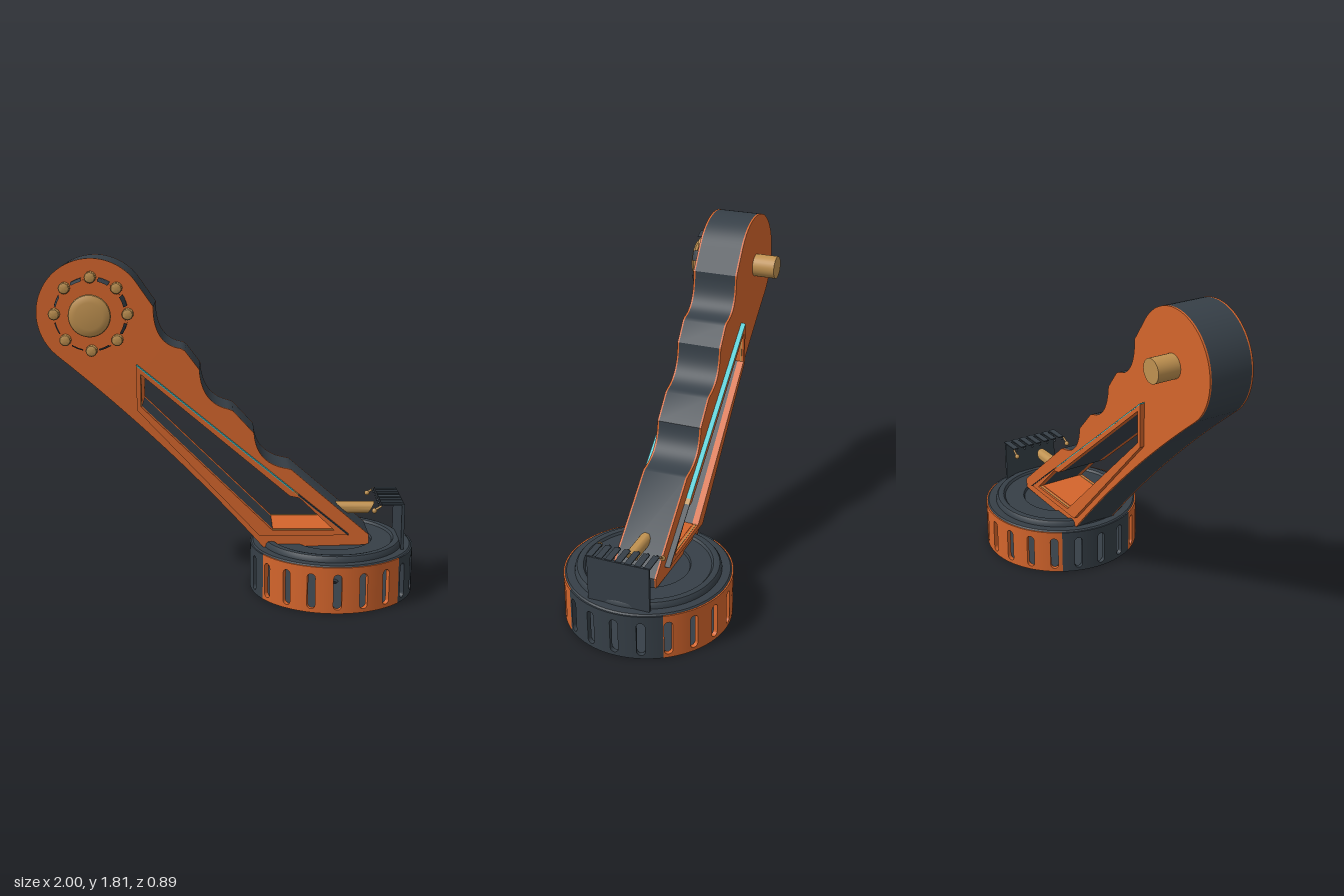
import * as THREE from 'three';
import { mergeGeometries, toCreasedNormals } from 'three/addons/utils/BufferGeometryUtils.js';

const paint = (name, color, side = THREE.FrontSide) => {
  const m = new THREE.MeshStandardMaterial({ color, side });
  m.name = name;
  return m;
};
const rad = THREE.MathUtils.degToRad;
const v2 = (pts) => pts.map(([x, y]) => new THREE.Vector2(x, y));

export function createModel() {
  const orange = paint('orange', 0xd4652c);
  const dark = paint('charcoal', 0x363f47, THREE.DoubleSide);
  const tan = paint('brass', 0xbf9150);
  const teal = paint('teal', 0x3fc8d0, THREE.DoubleSide);

  const model = new THREE.Group();
  const add = (name, geo, mat, x = 0, y = 0, z = 0, parent = model) => {
    const mesh = new THREE.Mesh(geo, mat);
    mesh.name = name;
    mesh.position.set(x, y, z);
    parent.add(mesh);
    return mesh;
  };
  const lathe = (pts, seg = 64, start = 0, len = Math.PI * 2) =>
    toCreasedNormals(new THREE.LatheGeometry(v2(pts), seg, start, len), 0.6);
  const extrude = (shape, depth) =>
    toCreasedNormals(new THREE.ExtrudeGeometry(shape, { depth, bevelEnabled: false, curveSegments: 20 }), 0.5);

  // ---- Base: slotted drum wall, bent from flat cells ----
  const base = new THREE.Group();
  base.name = 'base';
  base.position.x = 0.556;
  model.add(base);
  const R = 0.444, T = 0.024, H = 0.25;
  const cuts = [49, 122.5, 240, 301]; // colour borders, degrees from the front

  const wallCell = (a0, a1, slot) => {
    const X = (a) => rad(a) * R;
    const n = Math.max(1, Math.round((a1 - a0) / 3));
    const pts = [];
    for (let i = 0; i <= n; i++) pts.push([X(a0 + ((a1 - a0) * i) / n), 0]);
    for (let i = n; i >= 0; i--) pts.push([X(a0 + ((a1 - a0) * i) / n), H]);
    const shape = new THREE.Shape(v2(pts));
    if (slot !== null) {
      const hole = new THREE.Path();
      hole.absarc(X(slot), 0.19, 0.022, 0, Math.PI, false);
      hole.absarc(X(slot), 0.042, 0.022, Math.PI, Math.PI * 2, false);
      hole.closePath();
      shape.holes.push(hole);
    }
    const g = new THREE.ExtrudeGeometry(shape, { depth: T, bevelEnabled: false, curveSegments: 8 });
    const p = g.attributes.position, q = g.attributes.normal;
    for (let i = 0; i < p.count; i++) {
      const t = p.getX(i) / R, r = R - T + p.getZ(i), s = Math.sin(t), c = Math.cos(t);
      p.setXYZ(i, r * s, p.getY(i), r * c);
      const nx = q.getX(i), nz = q.getZ(i);
      q.setXYZ(i, nx * c + nz * s, q.getY(i), nz * c - nx * s);
    }
    return g;
  };
  const walls = { orange: [], dark: [] };
  for (let k = 0; k < 20; k++) {
    const lo = k * 18 - 9, hi = k * 18 + 9;
    const edges = [lo, ...cuts.filter((c) => c > lo && c < hi), hi];
    for (let i = 0; i + 1 < edges.length; i++) {
      const a = edges[i], b = edges[i + 1], m = (a + b) / 2;
      const isDark = (m > cuts[0] && m < cuts[1]) || (m > cuts[2] && m < cuts[3]);
      walls[isDark ? 'dark' : 'orange'].push(wallCell(a, b, a < k * 18 && b > k * 18 ? k * 18 : null));
    }
  }
  add('drumWallPainted', mergeGeometries(walls.orange), orange, 0, 0, 0, base);
  add('drumWallDark', mergeGeometries(walls.dark), dark, 0, 0, 0, base);
  add('drumTop', lathe([[0, 0.225], [0.422, 0.225], [0.436, 0.25], [0.428, 0.257], [0.385, 0.257],
    [0.382, 0.275], [0.372, 0.287], [0.355, 0.29], [0.34, 0.287], [0.33, 0.275], [0.222, 0.275],
    [0.216, 0.262], [0, 0.262]]), dark, 0, 0, 0, base);
  add('drumFloor', lathe([[0.045, 0.015], [0.045, 0], [0.422, 0], [0.422, 0.015], [0.045, 0.015]]), dark, 0, 0, 0, base);

  // ---- Arm: dark core between two orange side plates ----
  const HX = -0.717, HY = 1.524, HR = 0.285;
  const inner = [[-0.465, 1.21], [-0.465, 1.037], [0.23, 0.358], [0.56, 0.358], [0.37, 0.54], [0.32, 0.55]];
  const outer = [[-0.487, 1.257], [-0.487, 1.02], [0.16, 0.328], [0.636, 0.332]];
  const armShape = new THREE.Shape();
  armShape.moveTo(0.18, 0.257);
  armShape.quadraticCurveTo(-0.33, 0.84, -0.9, 1.305);
  armShape.absarc(HX, HY, HR, rad(230), rad(32), true);
  armShape.lineTo(-0.396, 1.56);
  const scallops = [
    [-0.396, 1.525, -0.385, 1.36, -0.257, 1.342, -0.235, 1.33],
    [-0.16, 1.23, -0.15, 1.05, -0.01, 1.02, 0.016, 1.01],
    [0.128, 0.888, 0.14, 0.72, 0.305, 0.695, 0.326, 0.69],
  ];
  for (const [x, y, cx, cy, ex, ey, lx, ly] of scallops) {
    armShape.lineTo(x, y);
    armShape.quadraticCurveTo(cx, cy, ex, ey);
    armShape.lineTo(lx, ly);
  }
  armShape.lineTo(0.749, 0.326);
  armShape.lineTo(0.749, 0.27);
  armShape.closePath();
  armShape.holes.push(new THREE.Path(v2(inner)));
  add('armCore', extrude(armShape, 0.23), dark, 0, 0, -0.115);

  const frameShape = new THREE.Shape(v2(outer));
  frameShape.holes.push(new THREE.Path(v2(inner)));

  // flat strip along an edge a-b, as a thin plate standing in z
  const strip = (name, a, b, z, depth, mat) => {
    const dx = b[0] - a[0], dy = b[1] - a[1];
    const m = add(name, new THREE.BoxGeometry(Math.hypot(dx, dy), 0.005, depth), mat,
      (a[0] + b[0]) / 2, (a[1] + b[1]) / 2, z);
    m.rotation.z = Math.atan2(dy, dx);
  };
  const along = (t) => [0, 1].map((i) => outer[0][i] + (outer[3][i] - outer[0][i]) * t);
  for (const s of [1, -1]) {
    add('armSidePlate', extrude(armShape, 0.01), orange, 0, 0, s > 0 ? 0.115 : -0.125);
    add('windowFrame', extrude(frameShape, 0.026), orange, 0, 0, s > 0 ? 0.124 : -0.15);
    strip('tealEdge', along(0), along(0.735), s * 0.137, 0.027, teal);
    strip('brassEdge', along(0.735), along(0.757), s * 0.137, 0.03, tan);
    strip('darkEdge', along(0.757), along(1), s * 0.138, 0.032, dark);
    strip('brassWindowTrim', inner[0], inner[1], s * 0.135, 0.008, tan);
    strip('brassWindowTrim', inner[2], inner[3], s * 0.135, 0.008, tan);
  }
  // orange linings at the ends of the window
  strip('windowEndLining', inner[0], inner[1], 0, 0.24, orange);
  strip('windowFloorLining', inner[2], inner[3], 0, 0.24, orange);

  // ---- Head: dial with knob, studs and curved petals ----
  const dial = new THREE.Group();
  dial.name = 'dial';
  dial.position.set(HX, HY, 0.12);
  dial.rotation.x = Math.PI / 2; // local y points forward
  model.add(dial);
  add('dialDisc', new THREE.CylinderGeometry(0.18, 0.18, 0.016, 48), orange, 0, 0.004, 0, dial);
  add('knobStem', new THREE.CylinderGeometry(0.03, 0.03, 0.08, 20), dark, 0, 0.04, 0, dial);
  add('knob', lathe([[0, 0.07], [0.09, 0.07], [0.105, 0.078], [0.11, 0.09], [0.106, 0.1],
    [0.09, 0.108], [0.07, 0.112], [0, 0.112]], 40), tan, 0, 0, 0, dial);
  const studGeo = lathe([[0.03, 0], [0.03, 0.035], [0.026, 0.042], [0.018, 0.045], [0, 0.045]], 16);
  const petalGeo = lathe([[0.192, 0.005], [0.192, 0.035], [0.188, 0.055], [0.178, 0.072]], 6, -rad(9), rad(18));
  for (let i = 0; i < 8; i++) {
    const a = (i * Math.PI) / 4;
    add('stud', studGeo, tan, 0.19 * Math.sin(a), 0, 0.19 * Math.cos(a), dial);
    add('petal', petalGeo, dark, 0, 0, 0, dial).rotation.y = a + Math.PI / 8;
  }
  const shaft = add('rearShaft', new THREE.CylinderGeometry(0.0625, 0.0625, 0.14, 32), tan, HX, HY, -0.18);
  shaft.rotation.x = Math.PI / 2;

  // ---- Nozzle rod above the base, with a slanted tip ----
  const rodGeo = new THREE.CylinderGeometry(0.033, 0.033, 0.2, 24).rotateZ(-Math.PI / 2);
  const rp = rodGeo.attributes.position;
  for (let i = 0; i < rp.count; i++) if (rp.getX(i) > 0) rp.setX(i, 0.09 + rp.getY(i) * 0.6);
  add('rod', toCreasedNormals(rodGeo, 0.6), tan, 0.68, 0.443, 0);
  add('rodEnd', new THREE.SphereGeometry(0.033, 20, 12), tan, 0.59, 0.443, 0);

  // ---- Shield with a comb of thin prongs ----
  add('shield', new THREE.BoxGeometry(0.016, 0.25, 0.335), dark, 0.925, 0.38, 0);
  for (let i = 0; i < 7; i++) {
    const z = -0.156 + i * 0.052;
    add('prong', new THREE.BoxGeometry(0.12, 0.006, 0.034), dark, 0.87, 0.506, z);
    add('prongTip', new THREE.SphereGeometry(0.007, 8, 6), dark, 0.8, 0.5, z);
  }
  for (const s of [1, -1]) {
    add('shieldPin', new THREE.SphereGeometry(0.014, 12, 8), tan, 0.77, 0.475, s * 0.172);
    add('pinHook', new THREE.CylinderGeometry(0.006, 0.006, 0.05, 8), tan, 0.787, 0.488, s * 0.172).rotation.z = -1;
  }
  return model;
}
